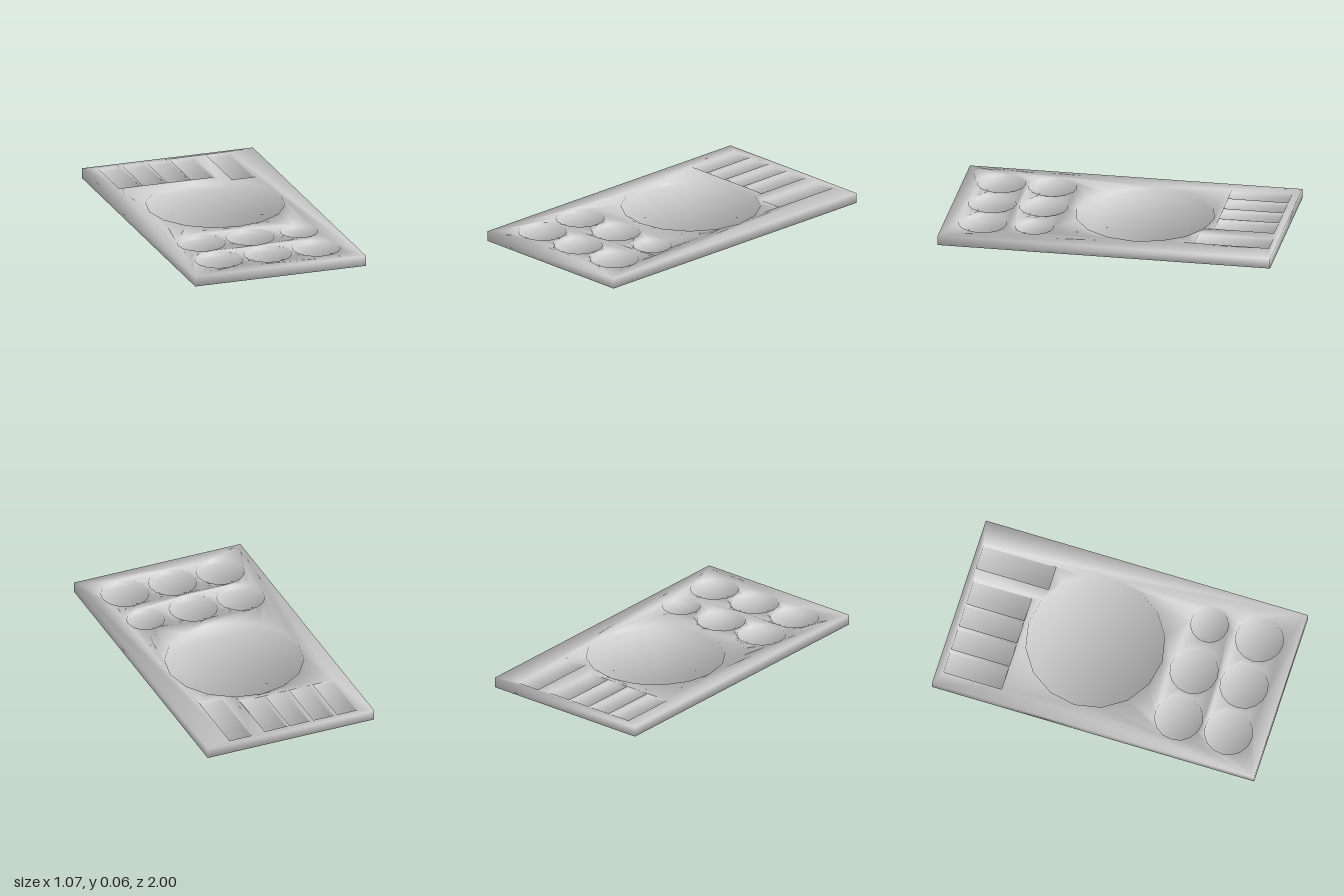
import * as THREE from 'three';
import { mergeGeometries } from 'three/addons/utils/BufferGeometryUtils.js';

const HEIGHT = 0.062, DEPTH = 0.02;
const material = new THREE.MeshStandardMaterial({ color: 0xcccccc });

// Outlines run counter-clockwise in plan, with plan y = -z.
const rectangle = (x0, x1, z0, z1) =>
  [[x0, -z1], [x1, -z1], [x1, -z0], [x0, -z0]].map(p => new THREE.Vector2(...p));

const circle = (x, z, r, n = 16) => Array.from({ length: n }, (_, i) => {
  const a = (i / n) * Math.PI * 2;
  return new THREE.Vector2(x + r * Math.cos(a), -z + r * Math.sin(a));
});

// Flat sheet at height y, optionally pierced or facing down
function sheet(outline, y, holes = [], down = false) {
  const shape = new THREE.Shape(outline);
  shape.holes = holes.map(h => new THREE.Path(h));
  const g = new THREE.ShapeGeometry(shape);
  g.deleteAttribute('uv');
  g.rotateX(-Math.PI / 2).translate(0, y, 0);
  if (down) g.index.array.reverse();
  return g.toNonIndexed();
}

// Vertical wall along an outline, facing outward or inward
function wall(outline, y0, y1, inward = false) {
  const pos = [];
  outline.forEach((p, i) => {
    let a = p, b = outline[(i + 1) % outline.length];
    if (inward) [a, b] = [b, a];
    pos.push(a.x, y0, -a.y, b.x, y0, -b.y, b.x, y1, -b.y);
    pos.push(a.x, y0, -a.y, b.x, y1, -b.y, a.x, y1, -a.y);
  });
  const g = new THREE.BufferGeometry();
  g.setAttribute('position', new THREE.Float32BufferAttribute(pos, 3));
  g.computeVertexNormals();
  return g;
}

// Blend normals, weighted by corner angle, wherever corners meet
function smoothTogether(geometries) {
  const sums = new Map();
  const v = (g, i) => new THREE.Vector3().fromBufferAttribute(g.attributes.position, i);
  const key = p => p.toArray().map(c => Math.round(c * 1e4)).join();
  for (const g of geometries) {
    for (let i = 0; i < g.attributes.position.count; i += 3) {
      const t = [0, 1, 2].map(k => v(g, i + k));
      const normal = new THREE.Triangle(...t).getNormal(new THREE.Vector3());
      t.forEach((p, k) => {
        const angle = t[(k + 1) % 3].clone().sub(p).angleTo(t[(k + 2) % 3].clone().sub(p));
        if (!sums.has(key(p))) sums.set(key(p), new THREE.Vector3());
        sums.get(key(p)).addScaledVector(normal, angle);
      });
    }
  }
  for (const g of geometries) {
    for (let i = 0; i < g.attributes.position.count; i++) {
      const n = sums.get(key(v(g, i))).clone().normalize();
      g.attributes.normal.setXYZ(i, n.x, n.y, n.z);
    }
  }
}

export function createModel() {
  const group = new THREE.Group();
  group.name = 'tray';
  const parts = [];

  // One large round well, six small ones and five slots
  const wells = [['largeWell', circle(0, -0.153, 0.413)]];
  for (const z of [0.46, 0.77]) {
    for (const x of [-0.307, 0, 0.307]) {
      const r = x > 0 && z < 0.5 ? 0.112 : 0.143;
      wells.push(['smallWell', circle(x, z, r)]);
    }
  }
  for (const [x0, x1] of [[-0.45, -0.318], [-0.297, -0.164], [-0.143, -0.01], [0.003, 0.15]]) {
    wells.push(['slot', rectangle(x0, x1, -0.954, -0.594)]);
  }
  wells.push(['longSlot', rectangle(0.233, 0.381, -0.965, -0.516)]);

  // Slab with openings in its top
  const outline = rectangle(-0.537, 0.537, -1, 1);
  parts.push(['slab', mergeGeometries([
    sheet(outline, HEIGHT, wells.map(w => w[1])),
    wall(outline, 0, HEIGHT),
    sheet(outline, 0, [], true),
  ])]);

  // Sunken walls and floors
  for (const [name, points] of wells) {
    parts.push([name, mergeGeometries([
      wall(points, HEIGHT - DEPTH, HEIGHT, true),
      sheet(points, HEIGHT - DEPTH),
    ])]);
  }

  smoothTogether(parts.map(p => p[1]));
  for (const [name, geometry] of parts) {
    const mesh = new THREE.Mesh(geometry, material);
    mesh.name = name;
    group.add(mesh);
  }
  return group;
}
